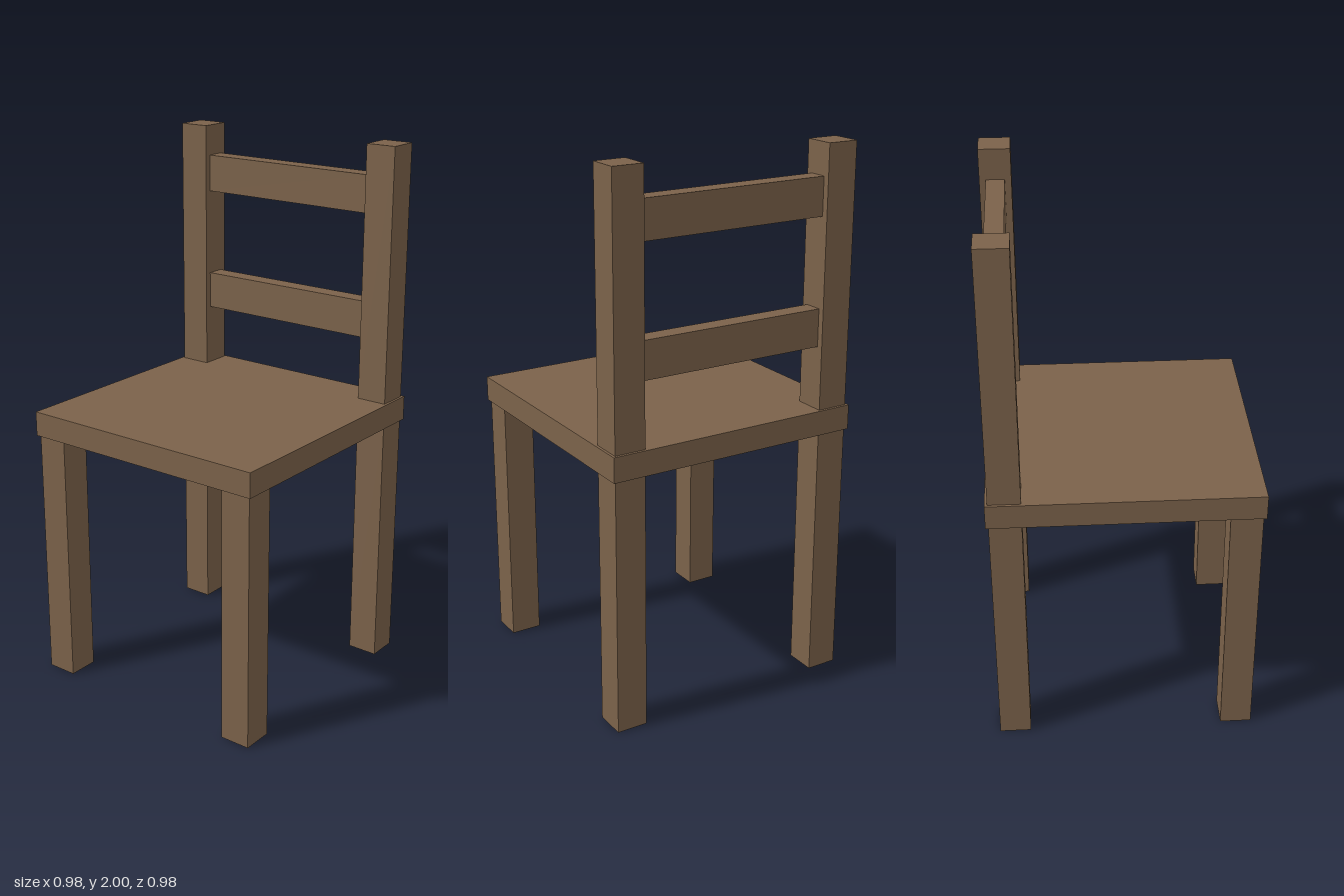
import * as THREE from 'three';

export function createModel() {
  const chair = new THREE.Group();
  chair.name = 'chair';

  const wood = new THREE.MeshStandardMaterial({ color: 0x7b624a });
  wood.name = 'brown wood';

  // Box spanning y0..y1, centred on x and z
  function addBox(name, width, depth, y0, y1, x, z) {
    const mesh = new THREE.Mesh(new THREE.BoxGeometry(width, y1 - y0, depth), wood);
    mesh.name = name;
    mesh.position.set(x, (y0 + y1) / 2, z);
    chair.add(mesh);
  }

  const post = 0.116; // square section of legs and posts
  const inset = 0.42; // distance of their centres from the middle
  const seatBottom = 0.957;
  const seatTop = 1.049;

  addBox('seat', 0.976, 0.976, seatBottom, seatTop, 0, 0);

  // Legs, with the back posts standing above the rear pair
  for (const [side, x] of [['left', inset], ['right', -inset]]) {
    addBox(side + 'FrontLeg', post, post, 0, seatBottom, x, inset);
    addBox(side + 'BackLeg', post, post, 0, seatBottom, x, -inset);
    addBox(side + 'BackPost', post, post, seatTop, 2, x, -inset);
  }

  // Backrest slats between the posts
  const slatWidth = 2 * inset - post;
  addBox('lowerSlat', slatWidth, 0.068, 1.28, 1.419, 0, -inset);
  addBox('upperSlat', slatWidth, 0.068, 1.746, 1.885, 0, -inset);

  return chair;
}
